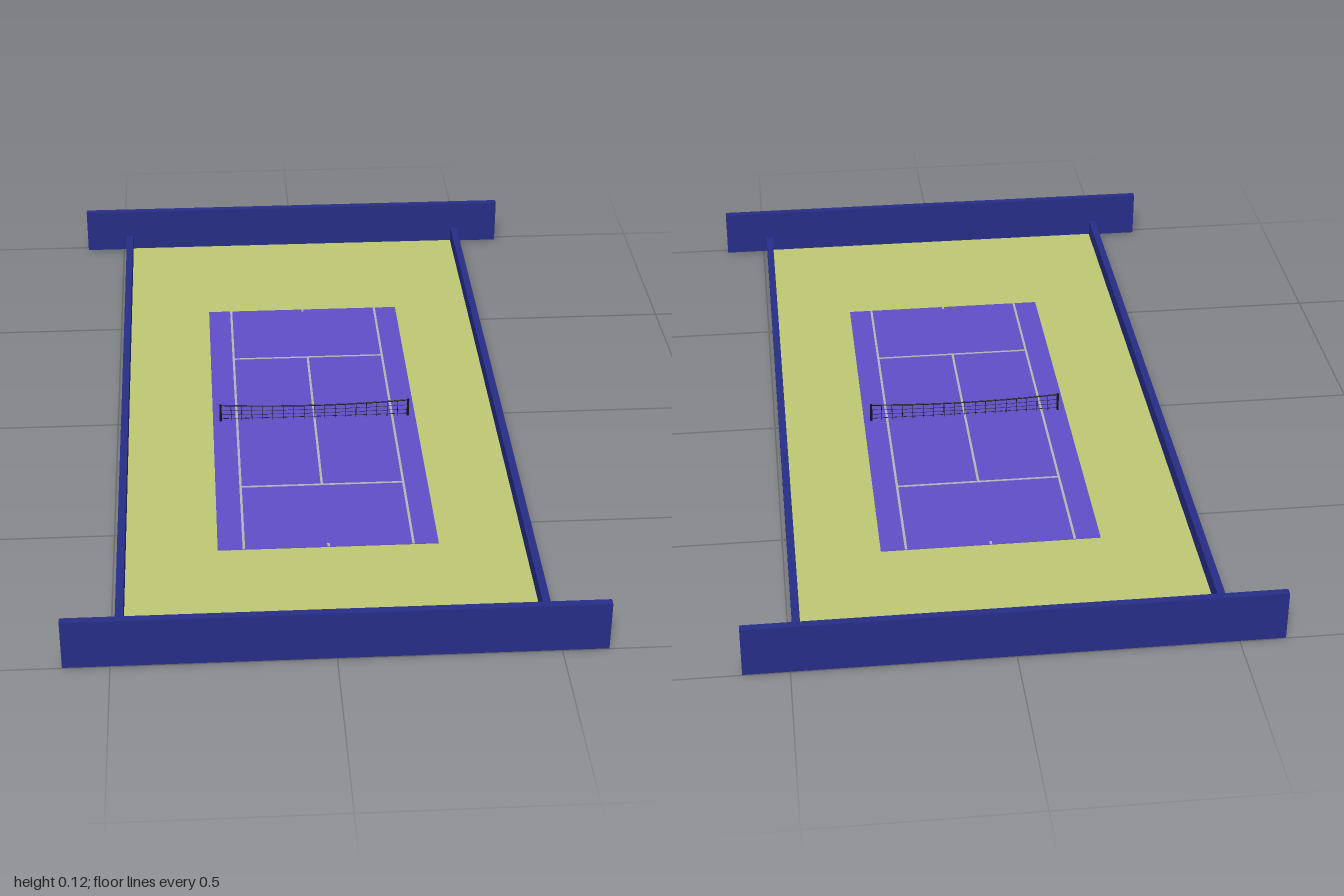
import * as THREE from 'three';

const paint = (color) => new THREE.MeshStandardMaterial({ color });
const MATS = {
  wall: paint(0x262d86),
  ground: paint(0xbfc873),
  court: paint(0x5f4ec8),
  line: paint(0xb4b4b8),
  net: paint(0x15151a),
};

export function createModel() {
  const root = new THREE.Group();

  // Box given by its minimum and maximum corners
  function box(name, mat, [x0, y0, z0], [x1, y1, z1], parent = root) {
    const mesh = new THREE.Mesh(new THREE.BoxGeometry(x1 - x0, y1 - y0, z1 - z0), mat);
    mesh.position.set((x0 + x1) / 2, (y0 + y1) / 2, (z0 + z1) / 2);
    mesh.name = name;
    parent.add(mesh);
    return mesh;
  }

  // Ground and playing surface
  const floorY = 0.003, courtY = 0.0045, lineY = 0.0055;
  const cx0 = -0.255, cx1 = 0.27, cz0 = -0.577, cz1 = 0.58;
  box('ground', MATS.ground, [-0.475, 0, -0.985], [0.475, floorY, 0.985]);
  box('court', MATS.court, [cx0, floorY, cz0], [cx1, courtY, cz1]);

  // Low side walls and tall, wider end walls
  for (const s of [-1, 1]) {
    const side = box('sideWall', MATS.wall, [-0.009, 0.001, -0.982], [0.009, 0.045, 0.982]);
    side.position.x = s * 0.481;
    const end = box('endWall', MATS.wall, [-0.605, 0.001, -0.009], [0.605, 0.123, 0.009]);
    end.position.z = s * 0.991;
  }

  // Court lines
  const lines = new THREE.Group();
  lines.name = 'courtLines';
  root.add(lines);
  const w = 0.003, left = -0.193, right = 0.21, mid = 0.008;
  const line = (name, xa, za, xb, zb) =>
    box(name, MATS.line, [xa, courtY, za], [xb, lineY, zb], lines);
  for (const x of [left, right]) line('sideline', x - w, cz0, x + w, cz1);
  for (const z of [-0.31, 0.315]) line('serviceLine', left, z - w, right, z + w);
  line('centreLine', mid - w, -0.31, mid + w, 0.315);
  line('centreMark', mid - w, cz0, mid + w, cz0 + 0.012);
  line('centreMark', mid - w, cz1 - 0.012, mid + w, cz1);

  // Net: posts, sagging cords and hanging strings
  const net = new THREE.Group();
  net.name = 'net';
  net.position.set(mid, 0, 0.003);
  root.add(net);
  const half = 0.243, postTop = 0.053;
  const topAt = (x) => 0.043 + 0.008 * (x / half) ** 2;

  for (const s of [-1, 1]) {
    const post = new THREE.Mesh(new THREE.CylinderGeometry(0.003, 0.003, postTop - floorY, 8), MATS.net);
    post.position.set(s * half, (postTop + floorY) / 2, 0);
    post.name = 'netPost';
    net.add(post);
  }

  // Horizontal cords follow the sag in proportion to their height
  [[1, 0.0018], [0.68, 0.0006], [0.4, 0.0006], [0.14, 0.0008]].forEach(([f, r], i) => {
    const pts = [];
    for (let k = 0; k <= 8; k++) {
      const x = half * (k / 4 - 1);
      pts.push(new THREE.Vector3(x, courtY + (topAt(x) - courtY) * f, 0));
    }
    const cord = new THREE.Mesh(
      new THREE.TubeGeometry(new THREE.CatmullRomCurve3(pts), 24, r, 6), MATS.net);
    cord.name = i === 0 ? 'netBand' : 'netCord';
    net.add(cord);
  });

  const count = 18;
  for (let i = 1; i < count; i++) {
    const x = half * (2 * i / count - 1);
    box('netString', MATS.net, [x - 0.0007, courtY, -0.0007], [x + 0.0007, topAt(x), 0.0007], net);
  }

  return root;
}
